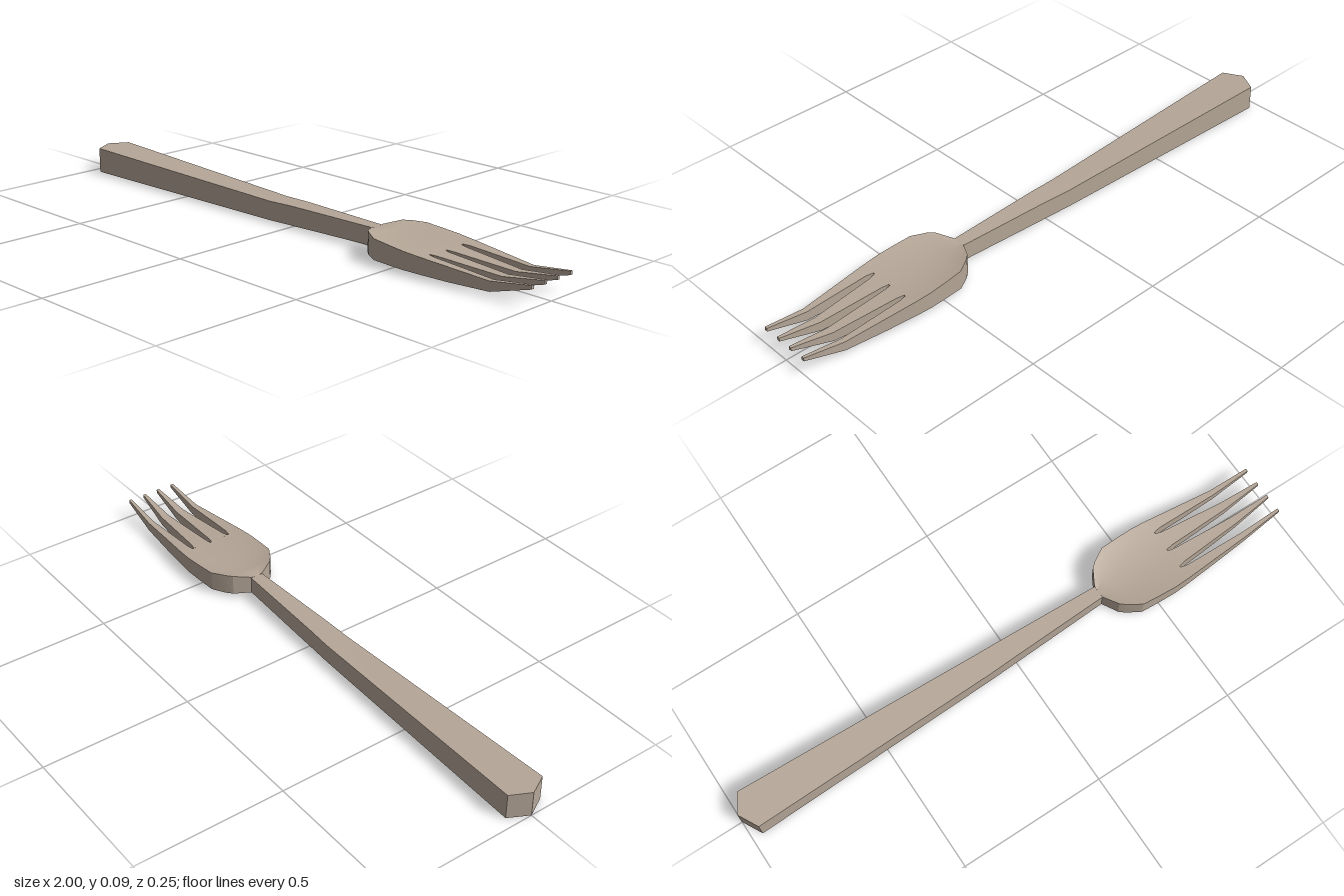
import * as THREE from 'three';
import { toCreasedNormals } from 'three/addons/utils/BufferGeometryUtils.js';

const material = new THREE.MeshStandardMaterial({ color: 0xb5a697 });

// piecewise linear lookup through [x, value] points
function along(points, x) {
  for (let i = 1; i < points.length; i++) {
    const [x0, v0] = points[i - 1], [x1, v1] = points[i];
    if (x <= x1) return v0 + (v1 - v0) * (x - x0) / (x1 - x0);
  }
  return points[points.length - 1][1];
}

// solid from sections [x, zMin, zMax], with top and bottom heights given by rules
function loft(name, sections, columns, top, bottom) {
  const positions = [];
  const tri = (...corners) => corners.forEach(c => positions.push(...c));
  const quad = (a, b, c, d) => { tri(a, b, c); tri(a, c, d); };
  const rings = sections.map(([x, z0, z1]) => {
    const up = [], down = [];
    for (let i = 0; i <= columns; i++) {
      const z = z0 + (z1 - z0) * i / columns;
      up.push([x, top(x, z), z]);
      down.push([x, bottom(x), z]);
    }
    return { up, down, ring: [...up, ...down.slice().reverse()] };
  });
  for (let s = 1; s < rings.length; s++) {
    const a = rings[s - 1].ring, b = rings[s].ring;
    for (let i = 0; i < a.length; i++) {
      const j = (i + 1) % a.length;
      quad(a[i], a[j], b[j], b[i]);
    }
  }
  const first = rings[0], last = rings[rings.length - 1];
  for (let i = 0; i < columns; i++) {
    quad(first.up[i], first.down[i], first.down[i + 1], first.up[i + 1]);
    quad(last.up[i], last.up[i + 1], last.down[i + 1], last.down[i]);
  }
  const geometry = new THREE.BufferGeometry();
  geometry.setAttribute('position', new THREE.Float32BufferAttribute(positions, 3));
  const mesh = new THREE.Mesh(toCreasedNormals(geometry, 0.3), material);
  mesh.name = name;
  return mesh;
}

export function createModel() {
  const fork = new THREE.Group();
  fork.name = 'fork';

  // tapered handle with a pointed butt
  const handleTop = [[-1, 0.087], [-0.1, 0.066], [0, 0.069], [0.36, 0.07]];
  const handleBottom = [[-1, 0], [-0.1, 0.002], [0.36, 0.012]];
  const handleHalf = [[-1, 0], [-0.965, 0.066], [-0.1, 0.04], [0, 0.036], [0.345, 0.022]];
  fork.add(loft('handle', handleHalf.map(([x, h]) => [x, -h, h]), 1,
    x => along(handleTop, x), x => along(handleBottom, x)));

  // heights shared by the bowl and tines; the bowl is hollowed along its middle
  const rim = [[0.34, 0.073], [0.375, 0.083], [0.56, 0.069], [0.86, 0.048], [1, 0.068]];
  const base = [[0.34, 0.012], [0.72, 0.012], [0.86, 0.016], [1, 0.056]];
  const dip = [[0.34, 0.003], [0.4, 0.014], [0.56, 0.009], [0.86, 0]];
  const outline = [[0.34, 0.022], [0.37, 0.075], [0.39, 0.092], [0.435, 0.118],
    [0.5, 0.122], [0.56, 0.124], [0.615, 0.121], [0.86, 0.1], [1, 0.092]];
  const top = (x, z) => along(rim, x)
    - along(dip, x) * Math.max(0, 1 - (z / along(outline, x)) ** 2);
  const bottom = x => along(base, x);
  fork.add(loft('bowl', outline.slice(0, 7).map(([x, h]) => [x, -h, h]), 12, top, bottom));

  // four tines, mirrored about the centre line
  const tineX = [0.615, 0.64, 0.72, 0.86, 1];
  const tines = [
    { name: 'innerTine', inside: [[0.615, 0.003], [0.64, 0.007], [1, 0.023]],
      outside: [[0.615, 0.069], [0.64, 0.063], [1, 0.033]] },
    { name: 'outerTine', inside: [[0.615, 0.074], [0.64, 0.079], [1, 0.082]], outside: outline },
  ];
  for (const { name, inside, outside } of tines) {
    for (const side of [-1, 1]) {
      const sections = tineX.map(x => {
        const a = along(inside, x), b = along(outside, x);
        return side > 0 ? [x, a, b] : [x, -b, -a];
      });
      fork.add(loft(name + (side > 0 ? 'Front' : 'Back'), sections, 2, top, bottom));
    }
  }
  return fork;
}
